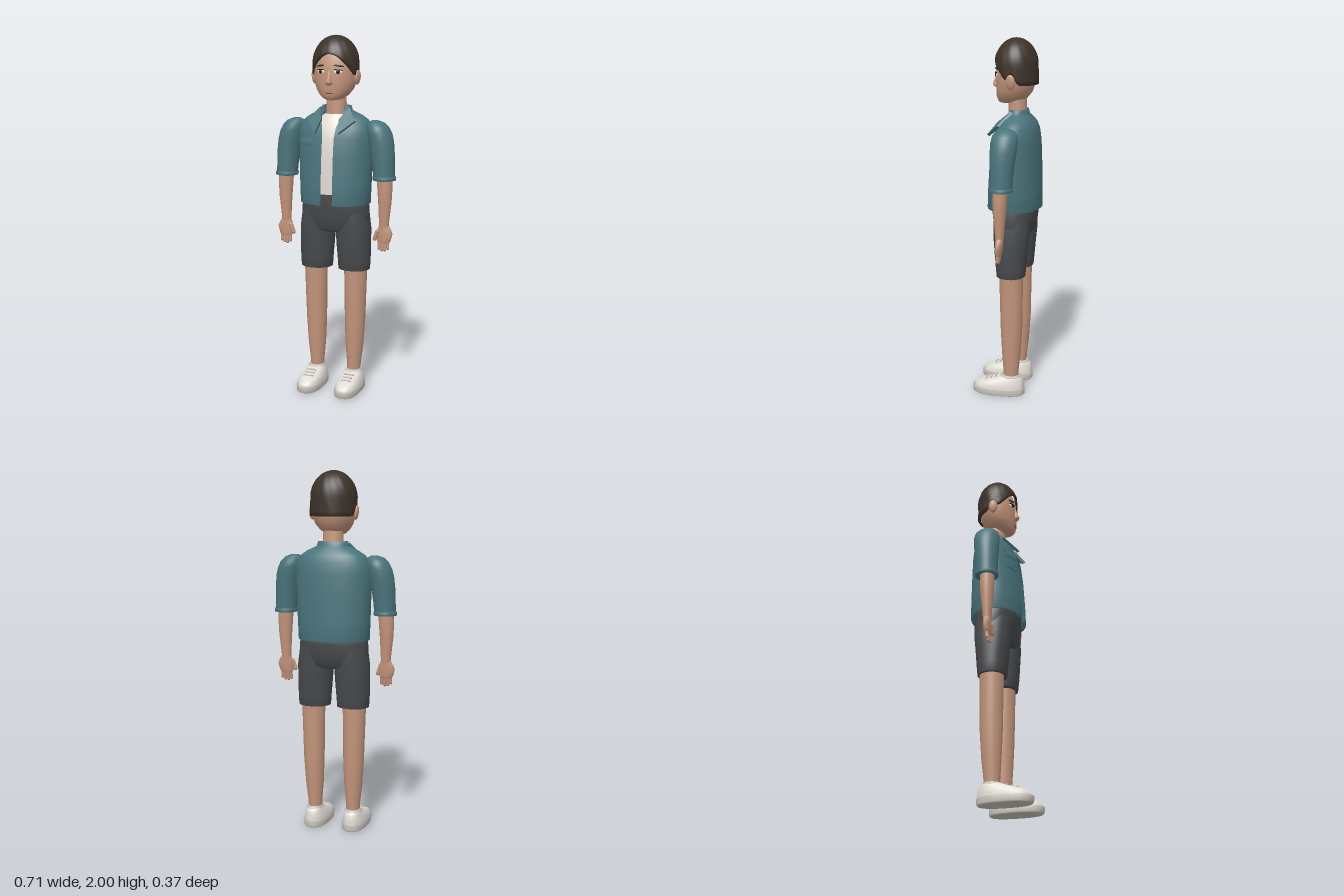
import * as THREE from 'three';

const mat = (name, color, side = THREE.FrontSide) => {
  const m = new THREE.MeshStandardMaterial({ color, side });
  m.name = name;
  return m;
};

// Stacked horizontal rings. Section: [y, halfWidth, zFront, zBack, centreX, halfGapAtFront]
// Angle 0 is the front (+z) and grows towards +x. p below 1 makes the rings squarer.
function loft(sections, { n = 32, p = 1, arc = null, caps = true } = {}) {
  const pos = [], idx = [];
  const open = arc !== null || sections[0][5] !== undefined;
  const cols = open ? n + 1 : n;
  const pw = v => Math.sign(v) * Math.abs(v) ** p;
  for (const [y, rx, zf, zb, cx = 0, gap = 0] of sections) {
    const g = Math.asin(Math.min(1, gap / rx));
    const [a0, a1] = arc || [g, Math.PI * 2 - g];
    for (let j = 0; j < cols; j++) {
      const t = a0 + (a1 - a0) * j / n;
      pos.push(cx + rx * pw(Math.sin(t)), y, (zf + zb) / 2 + (zf - zb) / 2 * pw(Math.cos(t)));
    }
  }
  for (let i = 0; i < sections.length - 1; i++) {
    for (let j = 0; j < n; j++) {
      const k = (j + 1) % cols, a = i * cols + j, b = i * cols + k;
      idx.push(a, b, b + cols, a, b + cols, a + cols);
    }
  }
  if (!open && caps) {
    for (const i of [0, sections.length - 1]) {
      const [y, , zf, zb, cx = 0] = sections[i];
      const base = pos.length / 3;
      for (let j = 0; j < n; j++) pos.push(...pos.slice((i * n + j) * 3, (i * n + j) * 3 + 3));
      pos.push(cx, y, (zf + zb) / 2);
      for (let j = 0; j < n; j++) {
        const a = base + j, b = base + (j + 1) % n;
        idx.push(base + n, ...(i ? [a, b] : [b, a]));
      }
    }
  }
  return build(pos, idx);
}

function build(pos, idx) {
  const g = new THREE.BufferGeometry();
  g.setAttribute('position', new THREE.Float32BufferAttribute(pos, 3));
  g.setIndex(idx);
  g.computeVertexNormals();
  return g;
}

// Hair shell: the lower edge follows a hairline that depends on the angle
function hairGeometry() {
  const n = 64, rows = 14, pos = [], idx = [];
  for (let i = -1; i <= rows; i++) {
    for (let j = 0; j < n; j++) {
      const t = j / n * Math.PI * 2, c = Math.cos(t), side = Math.abs(Math.sin(t));
      const earNotch = 0.055 * Math.exp(-((c / 0.2) ** 2)) * side;
      const low = 1.755 + 0.145 * Math.max(0, c) ** 1.4 + earNotch;
      const v = Math.sin(Math.max(0, i) / rows * Math.PI / 2);
      const y = low + (2 - low) * v;
      let s = y < 1.85 ? 1 : Math.sqrt(Math.max(0, 1 - ((y - 1.85) / 0.15) ** 2));
      s *= i < 0 ? 0.86 : 1 + 0.012 * Math.sin(t * 13 + y * 30);
      pos.push(0.129 * s * Math.sin(t), y, -0.04 + 0.119 * s * c);
    }
  }
  for (let i = 0; i <= rows; i++) {
    for (let j = 0; j < n; j++) {
      const a = i * n + j, b = i * n + (j + 1) % n;
      idx.push(a, b, b + n, a, b + n, a + n);
    }
  }
  return build(pos, idx);
}

// Thin four-cornered panel with thickness along the given offset
function panel(corners, offset) {
  const back = corners.map(c => c.map((v, k) => v - offset[k]));
  const faces = [corners, [...back].reverse()];
  corners.forEach((c, i) => faces.push([c, back[i], back[(i + 1) % 4], corners[(i + 1) % 4]]));
  return build(faces.flat(2), faces.flatMap((_, f) => [0, 1, 2, 0, 2, 3].map(k => f * 4 + k)));
}

export function createModel() {
  const skin = mat('skin', 0xc2947a);
  const hair = mat('hair', 0x3c3229);
  const teal = mat('jacket teal', 0x4a747c, THREE.DoubleSide);
  const cream = mat('shirt cream', 0xe2ddd5);
  const grey = mat('shorts grey', 0x47494c);
  const shoeWhite = mat('shoe white', 0xe0dcd5);
  const soleGrey = mat('sole grey', 0xc6c1b9);
  const dark = mat('eye dark', 0x241c18);
  const eyeWhite = mat('eye white', 0xe9e4de);
  const lip = mat('lip brown', 0x8f6150);

  const model = new THREE.Group();
  const add = (name, geo, material, p = [0, 0, 0], r = [0, 0, 0], s = [1, 1, 1]) => {
    const m = new THREE.Mesh(geo, material);
    m.name = name;
    m.position.set(...p);
    m.rotation.set(...r);
    m.scale.set(...s);
    model.add(m);
    return m;
  };
  const ball = new THREE.SphereGeometry(1, 20, 14);

  // Head and neck
  add('head', loft([
    [1.653, 0.03, 0.045, -0.03], [1.66, 0.052, 0.057, -0.06], [1.68, 0.08, 0.065, -0.1],
    [1.715, 0.105, 0.068, -0.128], [1.76, 0.119, 0.069, -0.142], [1.8, 0.122, 0.067, -0.145],
    [1.86, 0.121, 0.064, -0.145], [1.92, 0.106, 0.04, -0.135], [1.965, 0.06, 0, -0.1]]), skin);
  add('neck', loft([[1.5, 0.066, 0.01, -0.11], [1.58, 0.058, 0.003, -0.1], [1.7, 0.056, 0, -0.094]]), skin);
  add('hair', hairGeometry(), hair);
  add('nose', loft([[1.733, 0.012, 0.072, 0.05], [1.742, 0.021, 0.086, 0.05], [1.752, 0.019, 0.091, 0.05],
    [1.775, 0.012, 0.081, 0.05], [1.815, 0.009, 0.069, 0.05]], { n: 16 }), skin);
  add('mouth', ball, lip, [0, 1.694, 0.064], [0, 0, 0], [0.024, 0.006, 0.006]);

  // Jacket body, open down the front
  add('jacketBody', loft([
    [1.078, 0.18, 0.095, -0.165, 0, 0.03], [1.082, 0.2, 0.114, -0.184, 0, 0.03],
    [1.2, 0.205, 0.109, -0.182, 0, 0.03], [1.35, 0.211, 0.098, -0.177, 0, 0.03],
    [1.45, 0.214, 0.085, -0.172, 0, 0.03], [1.51, 0.207, 0.068, -0.163, 0, 0.036],
    [1.545, 0.182, 0.048, -0.15, 0, 0.05], [1.57, 0.145, 0.027, -0.133, 0, 0.058],
    [1.59, 0.1, 0.008, -0.115, 0, 0.056], [1.602, 0.08, 0, -0.106, 0, 0.05]], { n: 56, p: 0.94 }), teal);
  add('collarBand', loft([
    [1.565, 0.1, 0.02, -0.122, 0, 0.062], [1.595, 0.091, 0.006, -0.113, 0, 0.06],
    [1.62, 0.084, -0.002, -0.106, 0, 0.06], [1.62, 0.074, -0.008, -0.098, 0, 0.054],
    [1.575, 0.074, -0.008, -0.098, 0, 0.054]]), teal);
  add('chestPocket', loft([[1.34, 0.211, 0.098, -0.177], [1.341, 0.218, 0.107, -0.182],
    [1.434, 0.221, 0.095, -0.18], [1.435, 0.213, 0.086, -0.173]],
  { n: 10, p: 0.94, arc: [-0.84, -0.41] }), teal);
  add('pocketFlap', loft([[1.405, 0.217, 0.095, -0.178], [1.406, 0.224, 0.104, -0.182],
    [1.439, 0.224, 0.099, -0.181], [1.44, 0.213, 0.086, -0.173]],
  { n: 10, p: 0.94, arc: [-0.85, -0.4] }), teal);

  // Shirt and shorts top
  add('shirt', loft([[1.1, 0.16, 0.078, -0.13], [1.3, 0.17, 0.083, -0.14], [1.43, 0.17, 0.074, -0.14],
    [1.5, 0.15, 0.055, -0.13], [1.545, 0.1, 0.032, -0.12], [1.575, 0.064, 0.012, -0.107]]), cream);
  add('shortsTop', loft([[0.925, 0.14, 0.045, -0.11], [0.94, 0.185, 0.062, -0.137], [1, 0.197, 0.076, -0.153],
    [1.06, 0.193, 0.084, -0.16], [1.1, 0.185, 0.087, -0.158], [1.138, 0.172, 0.086, -0.145]],
  { n: 40, p: 0.88 }), grey);

  for (const s of [1, -1]) {
    const side = s > 0 ? 'left' : 'right';
    const limb = (name, rows, material, opts) =>
      add(side + name, loft(rows.map(([y, rx, zf, zb, cx]) => [y, rx, zf, zb, cx * s]), opts), material);

    // Face details and ear
    add(side + 'Ear', ball, skin, [s * 0.126, 1.775, -0.035], [0, s * -0.2, s * -0.1], [0.014, 0.04, 0.026]);
    add(side + 'EyeWhite', ball, eyeWhite, [s * 0.05, 1.805, 0.058], [0, s * 0.38, 0], [0.023, 0.012, 0.006]);
    add(side + 'Iris', ball, dark, [s * 0.05, 1.806, 0.062], [0, s * 0.38, 0], [0.011, 0.011, 0.005]);
    add(side + 'EyeLid', ball, dark, [s * 0.051, 1.817, 0.061], [0, s * 0.38, s * -0.08], [0.025, 0.003, 0.005]);
    add(side + 'Eyebrow', ball, hair, [s * 0.053, 1.838, 0.057], [0, s * 0.4, s * -0.12], [0.029, 0.005, 0.006]);

    // Lapel folded outwards
    const corners = [[0.084, 1.615, -0.025], [0.05, 1.55, 0.055], [0.068, 1.483, 0.108], [0.138, 1.545, 0.035]]
      .map(([x, y, z]) => [x * s, y, z]);
    add(side + 'Lapel', panel(s > 0 ? corners : corners.reverse(), [0, 0.008, 0.014]), teal);

    // Sleeve with turned cuff
    limb('Sleeve', [[1.23, 0.059, 0.038, -0.08, 0.288], [1.3, 0.061, 0.039, -0.085, 0.284],
      [1.37, 0.065, 0.04, -0.092, 0.278], [1.43, 0.069, 0.041, -0.1, 0.268], [1.475, 0.068, 0.04, -0.104, 0.258],
      [1.51, 0.062, 0.034, -0.1, 0.245], [1.533, 0.047, 0.018, -0.083, 0.236],
      [1.545, 0.02, -0.01, -0.055, 0.23]], teal);
    limb('Cuff', [[1.222, 0.058, 0.038, -0.08, 0.289], [1.224, 0.064, 0.043, -0.086, 0.289],
      [1.242, 0.064, 0.043, -0.086, 0.288], [1.245, 0.058, 0.038, -0.08, 0.288]], teal);

    // Forearm and hand
    limb('Forearm', [[0.95, 0.026, 0.006, -0.036, 0.292], [1, 0.029, 0.01, -0.04, 0.293],
      [1.1, 0.037, 0.018, -0.05, 0.296], [1.18, 0.042, 0.022, -0.056, 0.295], [1.26, 0.043, 0.022, -0.058, 0.29]], skin);
    limb('Palm', [[0.872, 0.032, 0.004, -0.024, 0.292], [0.89, 0.04, 0.008, -0.03, 0.294],
      [0.925, 0.045, 0.008, -0.033, 0.298], [0.95, 0.038, 0.007, -0.035, 0.295],
      [0.972, 0.026, 0.006, -0.036, 0.292]], skin, { n: 20 });
    for (let f = 0; f < 4; f++) {
      const len = [0.034, 0.042, 0.04, 0.03][f];
      add(side + 'Finger' + (f + 1), new THREE.CapsuleGeometry(0.009, len, 4, 10), skin,
        [s * (0.268 + f * 0.0165), 0.876 - len / 2, -0.008], [-0.1, 0, s * (f - 1.5) * 0.04]);
    }
    add(side + 'Thumb', new THREE.CapsuleGeometry(0.012, 0.045, 4, 10), skin,
      [s * 0.252, 0.917, 0], [0, 0, s * -0.35]);

    // Shorts leg and bare leg
    limb('ShortsLeg', [[0.705, 0.08, 0.034, -0.107, 0.113], [0.708, 0.089, 0.042, -0.115, 0.112],
      [0.76, 0.092, 0.047, -0.12, 0.112], [0.85, 0.096, 0.055, -0.128, 0.109],
      [0.94, 0.098, 0.062, -0.138, 0.106], [1.04, 0.09, 0.06, -0.14, 0.1]], grey, { p: 0.9 });
    limb('Leg', [[0.08, 0.037, 0.004, -0.078, 0.113], [0.14, 0.039, 0.007, -0.08, 0.113],
      [0.25, 0.05, 0.014, -0.092, 0.115], [0.4, 0.058, 0.021, -0.101, 0.117],
      [0.55, 0.061, 0.024, -0.103, 0.119], [0.74, 0.066, 0.028, -0.106, 0.12]], skin);

    // Shoe: sole, upper, ankle rim and laces
    limb('ShoeSole', [[0, 0.064, 0.172, -0.11, 0.114], [0.006, 0.069, 0.182, -0.115, 0.114],
      [0.036, 0.069, 0.185, -0.115, 0.114], [0.041, 0.064, 0.176, -0.11, 0.114]], soleGrey, { p: 0.82 });
    limb('ShoeUpper', [[0.038, 0.066, 0.174, -0.111, 0.114], [0.055, 0.065, 0.168, -0.111, 0.114],
      [0.07, 0.061, 0.145, -0.109, 0.114], [0.085, 0.055, 0.1, -0.106, 0.114],
      [0.1, 0.049, 0.048, -0.1, 0.114], [0.112, 0.043, 0.012, -0.088, 0.114]], shoeWhite, { p: 0.84 });
    limb('ShoeRim', [[0.103, 0.047, 0.03, -0.095, 0.114], [0.108, 0.049, 0.026, -0.096, 0.114],
      [0.116, 0.043, 0.012, -0.087, 0.114]], soleGrey);
    for (let k = 0; k < 3; k++) {
      add(side + 'Lace' + (k + 1), new THREE.BoxGeometry(0.056, 0.006, 0.009), soleGrey,
        [s * 0.114, 0.101 - k * 0.0085, 0.05 + k * 0.026], [0.32, 0, 0]);
    }
  }
  return model;
}
